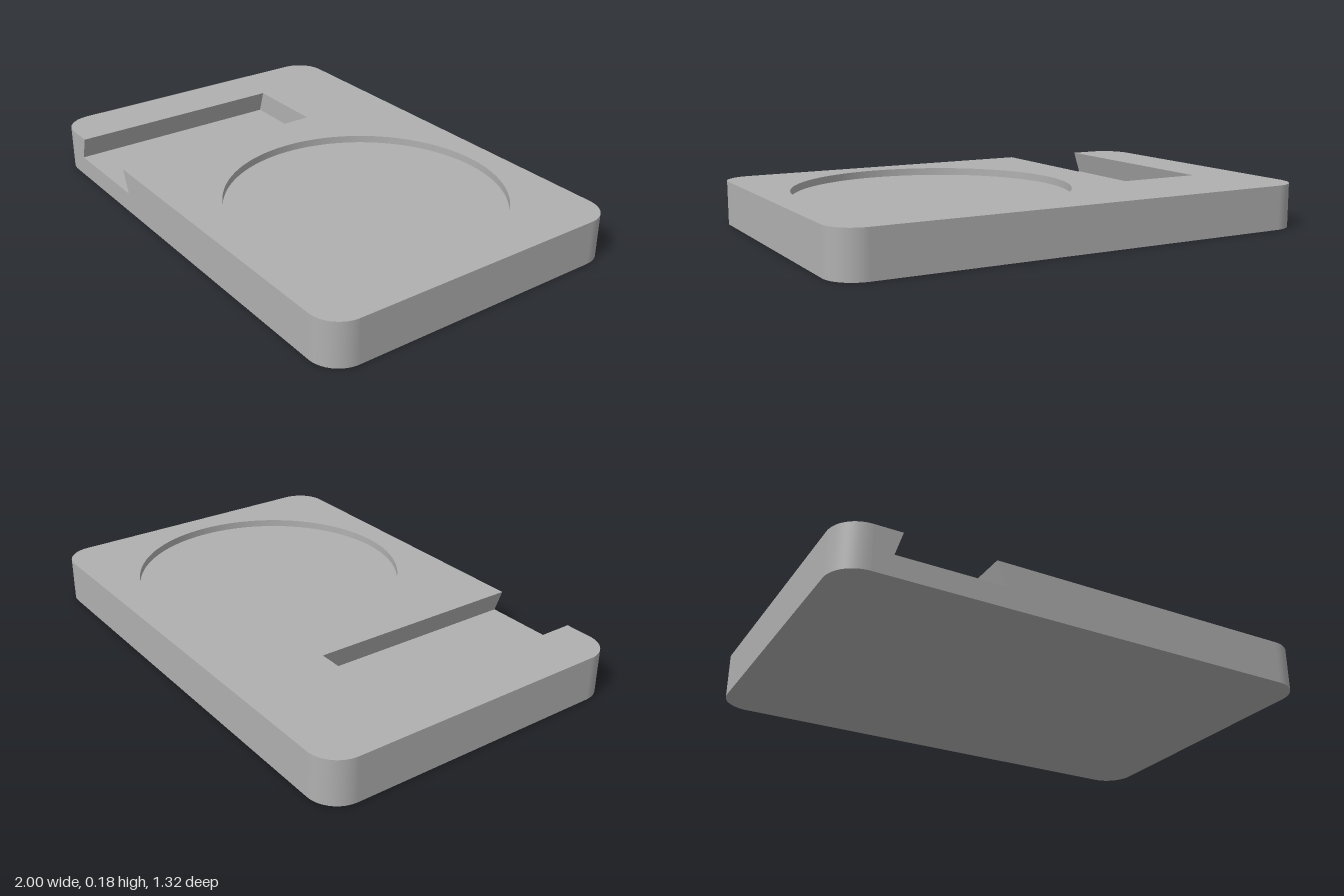
import * as THREE from 'three';

const W = 1, D = 0.66, H = 0.18, R = 0.12;                    // half width, half depth, height, corner radius
const SLOT = { top: [-0.77, -0.41], floor: [-0.80, -0.375], y: 0.085, back: -0.255 };
const POCKET = { x: 0.337, r: 0.552, y: 0.15, n: 96 };

const vec = (list) => list.map(([x, y]) => new THREE.Vector2(x, y));

// Wall between a lower and an upper path of [x, z] points; it faces right of the path.
function wall(lower, y0, upper, y1, smooth) {
  const pos = [], index = [];
  lower.forEach(([x, z], i) => {
    pos.push(x, y0, z, upper[i][0], y1, upper[i][1]);
    const a = i * 2;
    if (i < lower.length - 1) index.push(a, a + 2, a + 3, a, a + 3, a + 1);
  });
  let geo = new THREE.BufferGeometry();
  geo.setAttribute('position', new THREE.Float32BufferAttribute(pos, 3));
  geo.setIndex(index);
  if (!smooth) geo = geo.toNonIndexed();
  geo.computeVertexNormals();
  return geo;
}

// Flat horizontal face from a shape drawn in (x, -z).
const level = (shape, y) => new THREE.ShapeGeometry(shape, 48).rotateX(-Math.PI / 2).translate(0, y, 0);

export function createModel() {
  const group = new THREE.Group();
  group.name = 'tray';
  const grey = new THREE.MeshStandardMaterial({ color: 0xb0b0b0 });
  const add = (name, geo) => {
    const mesh = new THREE.Mesh(geo, grey);
    mesh.name = name;
    group.add(mesh);
  };

  // Rounded outline in (x, -z), from the front right corner round to the front left
  const outline = [];
  [[1, -1], [1, 1], [-1, 1], [-1, -1]].forEach(([sx, sy], c) => {
    for (let i = 0; i <= 16; i++) {
      const a = (c - 1 + i / 16) * Math.PI / 2;
      outline.push([sx * (W - R) + R * Math.cos(a), sy * (D - R) + R * Math.sin(a)]);
    }
  });
  const rim = outline.map(([x, s]) => [x, -s]);

  // Outer body
  add('sideWall', wall(rim, 0, rim, H, true));
  add('underside', new THREE.ShapeGeometry(new THREE.Shape(vec(outline))).rotateX(Math.PI / 2));

  // Top with the slot notch and the round pocket opening
  const [tl, tr] = SLOT.top, [fl, fr] = SLOT.floor;
  const topShape = new THREE.Shape(vec([...outline, [tl, -D], [tl, -SLOT.back], [tr, -SLOT.back], [tr, -D]]));
  const circle = [];
  for (let i = 0; i <= POCKET.n; i++) {
    const a = i / POCKET.n * Math.PI * 2;
    circle.push([POCKET.x + POCKET.r * Math.cos(a), POCKET.r * Math.sin(a)]);
  }
  topShape.holes.push(new THREE.Path(vec(circle.slice(0, -1))));
  add('topFace', level(topShape, H));

  // Front face with the dovetail cut
  const front = new THREE.Shape(vec([
    [-W + R, 0], [W - R, 0], [W - R, H], [tr, H], [fr, SLOT.y], [fl, SLOT.y], [tl, H], [-W + R, H],
  ]));
  add('frontFace', new THREE.ShapeGeometry(front).translate(0, 0, D));

  // Dovetail slot, open at the front
  const slotPath = (l, r) => [[l, D], [l, SLOT.back], [r, SLOT.back], [r, D]];
  add('slotWalls', wall(slotPath(fl, fr), SLOT.y, slotPath(tl, tr), H, false));
  add('slotFloor', level(new THREE.Shape(vec(slotPath(fl, fr).map(([x, z]) => [x, -z]))), SLOT.y));

  // Shallow round pocket
  add('pocketWall', wall(circle, POCKET.y, circle, H, true));
  add('pocketFloor', new THREE.CircleGeometry(POCKET.r, POCKET.n).rotateX(-Math.PI / 2).translate(POCKET.x, POCKET.y, 0));

  return group;
}
